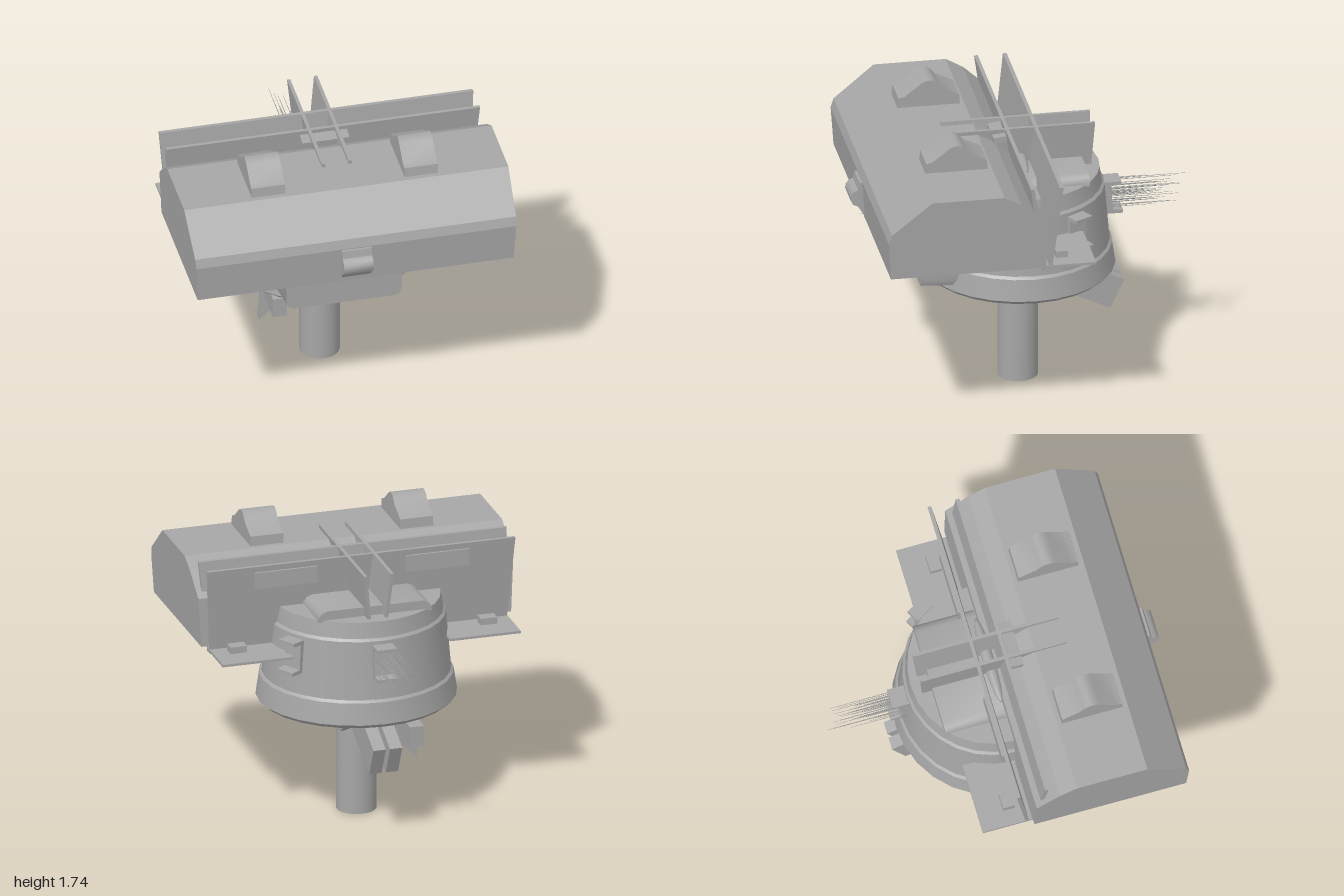
import * as THREE from 'three';
import { toCreasedNormals } from 'three/addons/utils/BufferGeometryUtils.js';

export function createModel() {
  const model = new THREE.Group();
  const grey = new THREE.MeshStandardMaterial({ color: 0xa6a6a6, side: THREE.DoubleSide });
  grey.name = 'plainGrey';

  const add = (name, geo, x = 0, y = 0, z = 0) => {
    const mesh = new THREE.Mesh(geo, grey);
    mesh.name = name;
    mesh.position.set(x, y, z);
    model.add(mesh);
    return mesh;
  };
  // box given by its limits
  const block = (name, x0, x1, y0, y1, z0, z1) =>
    add(name, new THREE.BoxGeometry(x1 - x0, y1 - y0, z1 - z0), (x0 + x1) / 2, (y0 + y1) / 2, (z0 + z1) / 2);
  // prism centred on its depth
  const prism = (points, depth) => {
    const shape = new THREE.Shape(points.map(p => new THREE.Vector2(p[0], p[1])));
    return new THREE.ExtrudeGeometry(shape, { depth, bevelEnabled: false }).translate(0, 0, -depth / 2);
  };
  // outline in [z, y], extruded across x
  const prismX = (points, width) => prism(points, width).rotateY(-Math.PI / 2);

  // post
  add('post', toCreasedNormals(new THREE.CylinderGeometry(0.118, 0.118, 0.68, 32), 0.6), 0, 0.34, 0);

  // drum body with stepped profile
  const profile = [[0, 0.67], [0.2, 0.67], [0.29, 0.675], [0.36, 0.7], [0.56, 0.7], [0.587, 0.725], [0.567, 0.855],
    [0.552, 0.87], [0.522, 1.22], [0.507, 1.235], [0.492, 1.33], [0, 1.335]];
  const drum = new THREE.LatheGeometry(profile.map(p => new THREE.Vector2(p[0], p[1])), 28);
  drum.scale(1, 1, 0.965);
  add('drumBody', toCreasedNormals(drum, 0.35));

  // rounded raised hatch on the drum
  const hatch = prism([[-0.345, 1.32], [0.345, 1.32], [0.343, 1.345], [0.325, 1.37], [0.29, 1.385],
    [-0.29, 1.385], [-0.325, 1.37], [-0.343, 1.345]], 0.365);
  add('topHatch', toCreasedNormals(hatch, 0.6), 0, 0, -0.182);

  // front housing: flared towards the back
  const housing = prism([[-0.3, 0.745], [0.3, 0.745], [0.33, 0.76], [0.345, 0.8], [0.345, 1.3],
    [-0.345, 1.3], [-0.345, 0.8], [-0.33, 0.76]], 0.525);
  const hp = housing.attributes.position;
  for (let i = 0; i < hp.count; i++) if (hp.getZ(i) < 0) hp.setX(i, hp.getX(i) * 1.2);
  housing.computeVertexNormals();
  add('frontHousing', toCreasedNormals(housing, 0.6), 0, 0, 0.3625);

  // hood: ends lean outwards, underside left open
  const hoodGeo = prismX([[0, 1.105], [0.915, 1.105], [0.93, 1.335], [0.912, 1.39], [0.675, 1.582],
    [0.25, 1.582], [0.15, 1.525], [0.01, 1.4]], 2);
  const src = hoodGeo.attributes.position;
  const kept = [];
  for (let i = 0; i < src.count; i += 3) {
    if (Math.max(src.getY(i), src.getY(i + 1), src.getY(i + 2)) < 1.11) continue;
    for (let k = i; k < i + 3; k++) {
      const y = src.getY(k), z = src.getZ(k);
      kept.push(Math.sign(src.getX(k)) * (0.941 + (y - 1.105) * 0.05), y, z);
    }
  }
  const hood = new THREE.BufferGeometry();
  hood.setAttribute('position', new THREE.Float32BufferAttribute(kept, 3));
  hood.computeVertexNormals();
  add('hood', hood);

  // humps on the hood roof and front
  const hump = [[0.275, 1.57], [0.645, 1.57], [0.637, 1.64], [0.6, 1.65], [0.505, 1.725], [0.48, 1.738], [0.455, 1.742],
    [0.43, 1.735], [0.41, 1.718], [0.385, 1.69], [0.28, 1.64]];
  for (const s of [-1, 1]) add('roofHump', toCreasedNormals(prismX(hump, 0.2), 0.5), s * 0.455, 0, 0);
  add('frontHump', toCreasedNormals(prismX([[0.9, 1.14], [0.93, 1.14], [0.955, 1.18], [0.985, 1.195], [1, 1.225],
    [0.998, 1.25], [0.98, 1.275], [0.955, 1.285], [0.945, 1.33], [0.9, 1.33]], 0.175), 0.6));

  // upright panels: leaning plates wider at the top
  const leaningPlate = (zTop, zBottom) => {
    const geo = prism([[-0.9, 1.07], [0.9, 1.07], [0.935, 1.605], [-0.935, 1.605]], 0.022);
    const p = geo.attributes.position;
    for (let i = 0; i < p.count; i++) {
      p.setZ(i, p.getZ(i) + THREE.MathUtils.mapLinear(p.getY(i), 1.07, 1.605, zBottom, zTop));
    }
    geo.computeVertexNormals();
    return geo;
  };
  add('backPanel', leaningPlate(-0.092, -0.03));
  add('frontPanel', leaningPlate(0.078, 0.005));
  for (const s of [-1, 1]) {
    block('panelPlate', s * 0.46 - 0.19, s * 0.46 + 0.19, 1.47, 1.57, -0.112, -0.085);
    // side ledges with small latches
    block('sideLedge', s * 0.69 - 0.215, s * 0.69 + 0.215, 1.085, 1.1, -0.3, 0);
    block('ledgeLatch', s * 0.76 - 0.05, s * 0.76 + 0.05, 1.1, 1.14, -0.15, -0.08);
    // long crossing fins
    const fin = prismX([[-0.42, 1.3], [0.42, 1.3], [0.44, 1.605], [-0.44, 1.605]], 0.02);
    const p = fin.attributes.position;
    for (let i = 0; i < p.count; i++) p.setX(i, p.getX(i) + s * (0.05 + (p.getY(i) - 1.3) * 0.1));
    fin.computeVertexNormals();
    add('crossFin', fin);
  }
  block('finBridge', -0.14, 0.14, 1.54, 1.58, 0.09, 0.165).rotation.x = 0.12;

  // spindle between the panels
  const spindle = new THREE.SphereGeometry(1, 24, 12).scale(0.27, 0.036, 0.036);
  add('spindle', spindle, 0, 1.4, -0.005);
  add('panelPivot', toCreasedNormals(new THREE.CylinderGeometry(0.03, 0.03, 1.1, 16).rotateZ(Math.PI / 2), 0.6), 0, 1.08, 0);

  // C-shaped brackets around the drum
  const bracketShape = [[0.5, 1.0], [0.61, 1.0], [0.61, 1.02], [0.55, 1.025], [0.54, 1.175], [0.6, 1.18],
    [0.6, 1.2], [0.5, 1.2]];
  for (const angle of [60, 120, 180]) {
    add('sideBracket', prismX(bracketShape, 0.12)).rotation.y = THREE.MathUtils.degToRad(angle);
  }

  // bristles running front to back
  let seed = 7;
  const rand = () => (seed = (seed * 16807) % 2147483647) / 2147483647;
  for (let i = 0; i < 34; i++) {
    const x = (rand() - 0.5) * 0.14, y = 1.035 + rand() * 0.14;
    const length = i === 0 ? 0.55 : 0.25 + rand() * 0.27;
    add('bristle', new THREE.CylinderGeometry(0.003, 0.001, length, 4).rotateX(Math.PI / 2), x, y, -0.45 - length / 2);
    if (i % 4 === 0) {
      const front = 0.1 + rand() * 0.24;
      add('frontBristle', new THREE.CylinderGeometry(0.001, 0.003, front, 4).rotateX(Math.PI / 2), x, y - 0.02, 0.61 + front / 2);
    }
  }

  // fork lugs joining post and drum
  for (const s of [-1, 1]) {
    const lug = prismX([[-0.16, 0.69], [-0.155, 0.62], [-0.12, 0.55], [-0.06, 0.505], [0.06, 0.505], [0.12, 0.55],
      [0.155, 0.62], [0.16, 0.69]], 0.05);
    add('forkLug', toCreasedNormals(lug, 0.6), s * 0.09, 0, 0);
    add('lugCap', new THREE.SphereGeometry(1, 16, 12).scale(0.035, 0.085, 0.04), s * 0.14, 0.66, -0.04);
    // split rear pedal
    add('rearPedal', prismX([[-0.14, 0.595], [-0.53, 0.41], [-0.612, 0.585], [-0.3, 0.74], [-0.14, 0.7]], 0.075), s * 0.05, 0, 0);
  }

  // hanging side blade with its cross bar
  add('sideBlade', prism([[-0.31, 0.7], [-0.34, 0.57], [-0.365, 0.27], [-0.235, 0.395], [-0.235, 0.53], [-0.2, 0.7]], 0.06));
  block('bladeCrossBar', -0.335, -0.25, 0.43, 0.555, -0.245, 0.245);

  return model;
}
